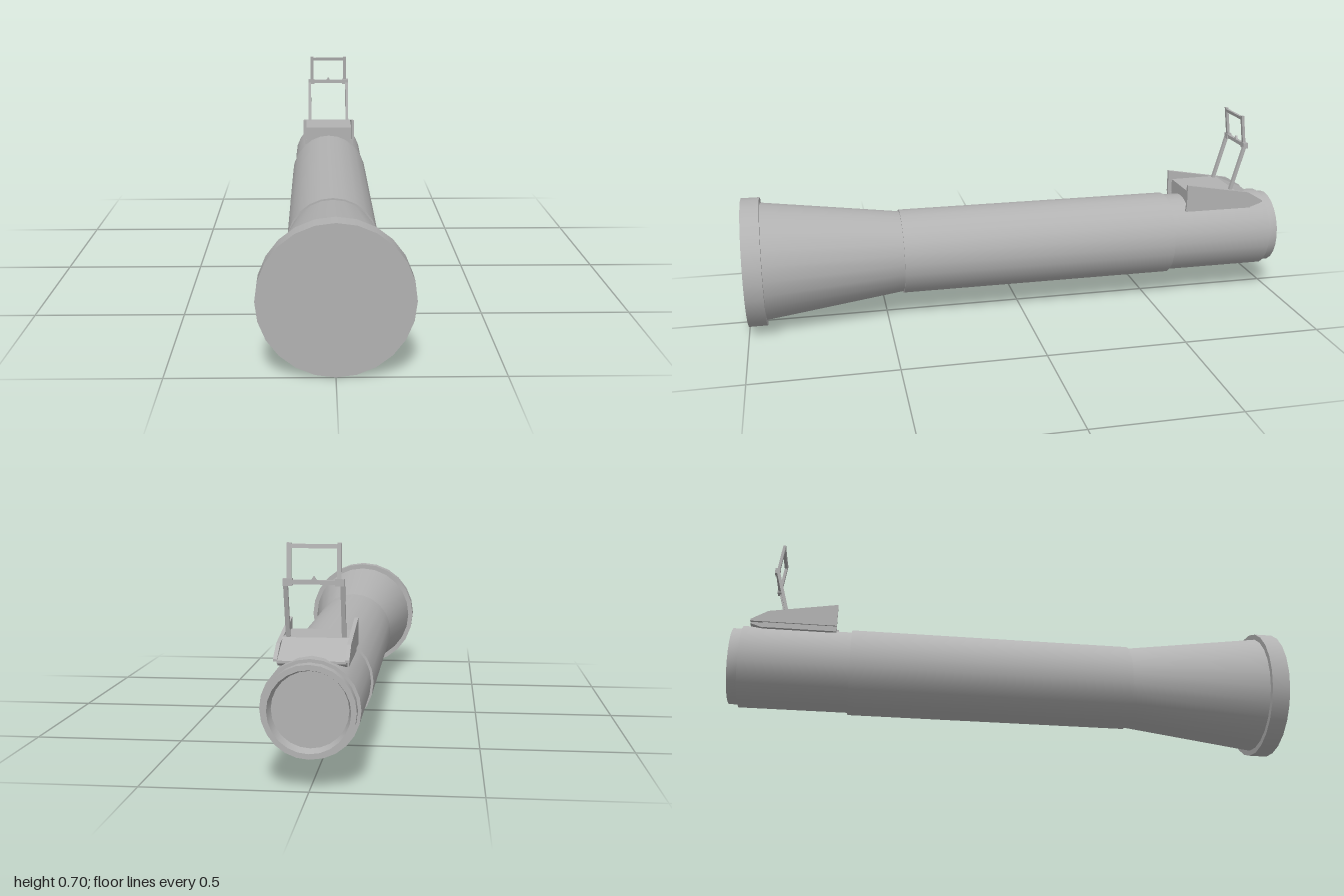
import * as THREE from 'three';
import { toCreasedNormals } from 'three/addons/utils/BufferGeometryUtils.js';

const SIDES = 24;
const AXIS_Y = 0.2325;

export function createModel() {
  const model = new THREE.Group();
  const grey = new THREE.MeshStandardMaterial({ color: 0xb2b2b2 });
  grey.name = 'grey';

  function add(name, geometry, parent = model) {
    const mesh = new THREE.Mesh(geometry, grey);
    mesh.name = name;
    parent.add(mesh);
    return mesh;
  }

  // Round section along z, from its front end to its back end
  function section(name, rFront, rBack, zFront, zBack) {
    const g = new THREE.CylinderGeometry(rFront, rBack, zFront - zBack, SIDES);
    g.rotateX(Math.PI / 2);
    g.translate(0, AXIS_Y, (zFront + zBack) / 2);
    return add(name, g);
  }

  // Side profile of [distance behind centre, height], extruded from x0 to x1
  function slab(name, points, x0, x1, parent) {
    const shape = new THREE.Shape(points.map(([b, y]) => new THREE.Vector2(b, y)));
    const g = new THREE.ExtrudeGeometry(shape, { depth: x1 - x0, bevelEnabled: false });
    g.rotateY(Math.PI / 2);
    g.translate(x0, 0, 0);
    return add(name, g, parent);
  }

  // Tube body
  section('muzzleCap', 0.2325, 0.2325, 1, 0.935);
  section('flaredCone', 0.213, 0.149, 0.935, 0.44);
  section('mainTube', 0.155, 0.155, 0.44, -0.58);
  section('rearTube', 0.147, 0.147, -0.58, -0.965);

  // Rear lip with a recessed end disc
  const lip = [[0.137, 0.96], [0.137, 1], [0.121, 1], [0.113, 0.967], [0, 0.967]];
  const lipGeometry = new THREE.LatheGeometry(
    lip.map(([r, b]) => new THREE.Vector2(r, b)), SIDES);
  lipGeometry.rotateX(-Math.PI / 2);
  lipGeometry.translate(0, AXIS_Y, 0);
  add('rearLip', toCreasedNormals(lipGeometry, 0.5));

  // Sight base: bed with a sloped tail between two wedge walls
  const base = new THREE.Group();
  base.name = 'sightBase';
  model.add(base);
  slab('bed', [[0.65, 0.345], [0.895, 0.345], [0.94, 0.36], [0.94, 0.368],
    [0.83, 0.418], [0.65, 0.415]], -0.1, 0.1, base);
  const wall = [[0.635, 0.365], [0.94, 0.365], [0.94, 0.372], [0.88, 0.408], [0.635, 0.45]];
  const foot = [[0.635, 0.345], [0.895, 0.345], [0.895, 0.365], [0.635, 0.365]];

  // Folding sight frame
  const frame = new THREE.Group();
  frame.name = 'sightFrame';
  model.add(frame);
  const leg = (b0, y0, b1, y1, t) =>
    [[b0 - t, y0], [b0 + t, y0], [b1 + t, y1], [b1 - t, y1]];
  for (const side of [-1, 1]) {
    const pair = (name, points, inner, outer, parent) =>
      slab(name, points, side > 0 ? inner : -outer, side > 0 ? outer : -inner, parent);
    pair('wall', wall, 0.098, 0.11, base);
    pair('wallFoot', foot, 0.095, 0.105, base);
    pair('lowerPost', leg(0.815, 0.41, 0.865, 0.59, 0.006), 0.077, 0.09, frame);
    pair('upperPost', leg(0.865, 0.585, 0.851, 0.7, 0.005), 0.067, 0.08, frame);
    pair('hinge', leg(0.866, 0.576, 0.866, 0.597, 0.009), 0.063, 0.09, frame);
  }
  slab('middleBar', leg(0.866, 0.58, 0.866, 0.593, 0.006), -0.065, 0.065, frame);
  slab('topBar', leg(0.853, 0.684, 0.851, 0.696, 0.005), -0.069, 0.069, frame);

  // Small aiming notch on the middle bar
  const tip = new THREE.Shape();
  tip.moveTo(-0.009, 0.592);
  tip.lineTo(0.009, 0.592);
  tip.lineTo(0, 0.605);
  const tipGeometry = new THREE.ExtrudeGeometry(tip, { depth: 0.008, bevelEnabled: false });
  tipGeometry.translate(0, 0, -0.87);
  add('aimingPoint', tipGeometry, frame);

  return model;
}
